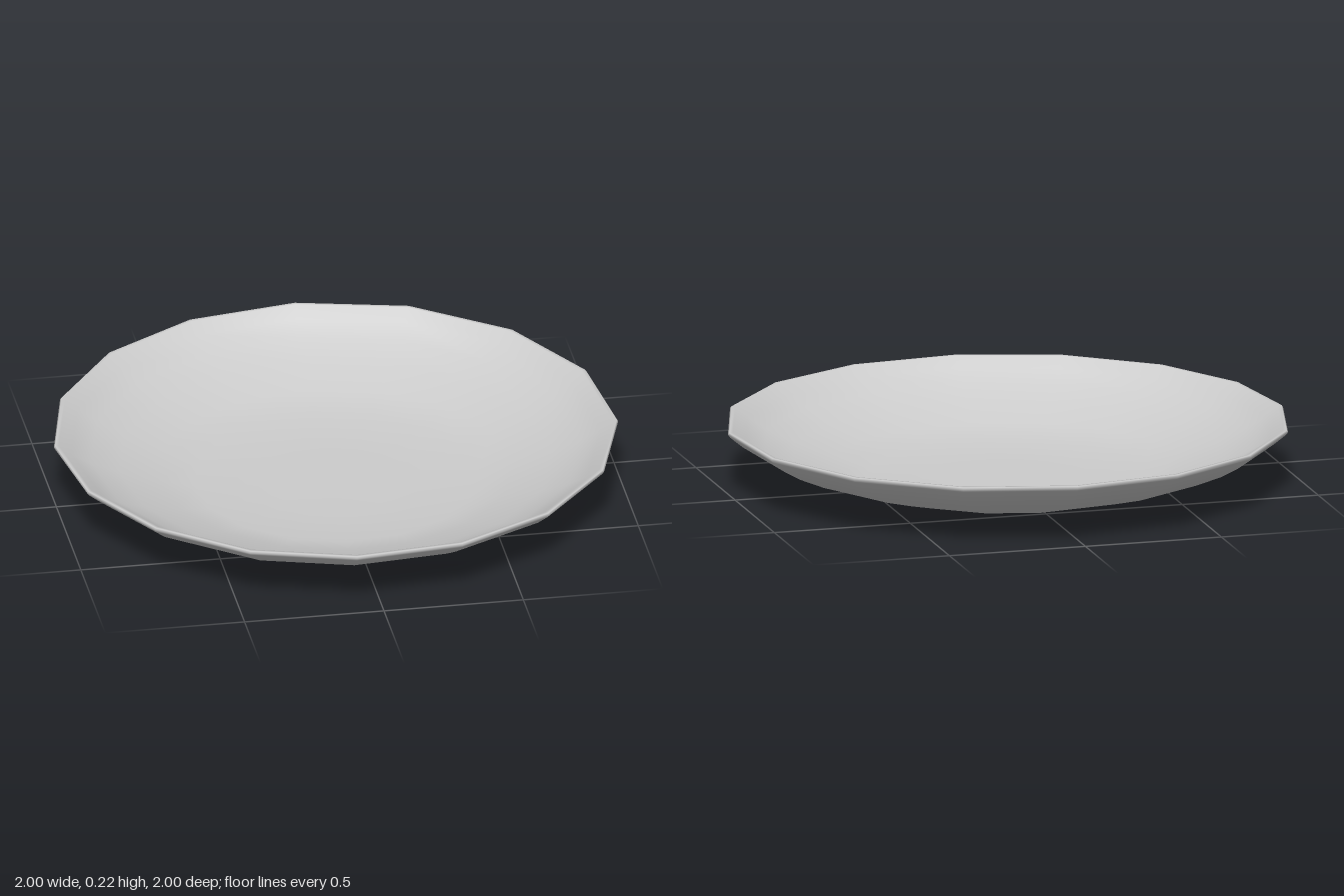
import * as THREE from 'three';

// Slightly uneven corner angles of the 16-sided outline, in degrees from +x towards +z
const CORNERS = [5.7, 28.6, 51, 73.2, 95.5, 117.4, 139.3, 160.8, 182.4, 204.2, 226.8, 249, 271.7, 295, 318.7, 342.2];

// Smooth surface of revolution whose columns are turned onto the outline corners
function turned(name, profile, material) {
  const points = profile.map(([r, y]) => new THREE.Vector2(r, y));
  const n = CORNERS.length;
  const geometry = new THREE.LatheGeometry(points, n);
  const { position, normal } = geometry.attributes;
  for (let i = 0; i < position.count; i++) {
    const column = Math.floor(i / points.length);
    const lathe = Math.PI / 2 - (column / n) * Math.PI * 2;
    const corner = THREE.MathUtils.degToRad(CORNERS[(n - column) % n]);
    const [c, s] = [Math.cos(corner), Math.sin(corner)];
    const r = points[i % points.length].x;
    position.setXYZ(i, r * c, position.getY(i), r * s);
    const out = normal.getX(i) * Math.cos(lathe) + normal.getZ(i) * Math.sin(lathe);
    normal.setXYZ(i, out * c, normal.getY(i), out * s);
  }
  const mesh = new THREE.Mesh(geometry, material);
  mesh.name = name;
  return mesh;
}

export function createModel() {
  const group = new THREE.Group();
  group.name = 'plate';
  const material = new THREE.MeshStandardMaterial({ color: 0xcccccc });

  // Flat foot under the plate
  group.add(turned('foot', [[0, 0], [0.48, 0]], material));

  // Curved underside, thin rounded rim and dished inside in one sweep
  group.add(turned('dish', [
    [0.48, 0], [0.63, 0.04], [0.78, 0.083], [0.88, 0.126], [0.95, 0.166], [0.995, 0.203],
    [1.003, 0.214], [0.998, 0.22], [0.985, 0.22],
    [0.94, 0.184], [0.87, 0.144], [0.77, 0.102], [0.63, 0.06], [0.5, 0.027], [0.25, 0.021], [0, 0.02],
  ], material));

  return group;
}
